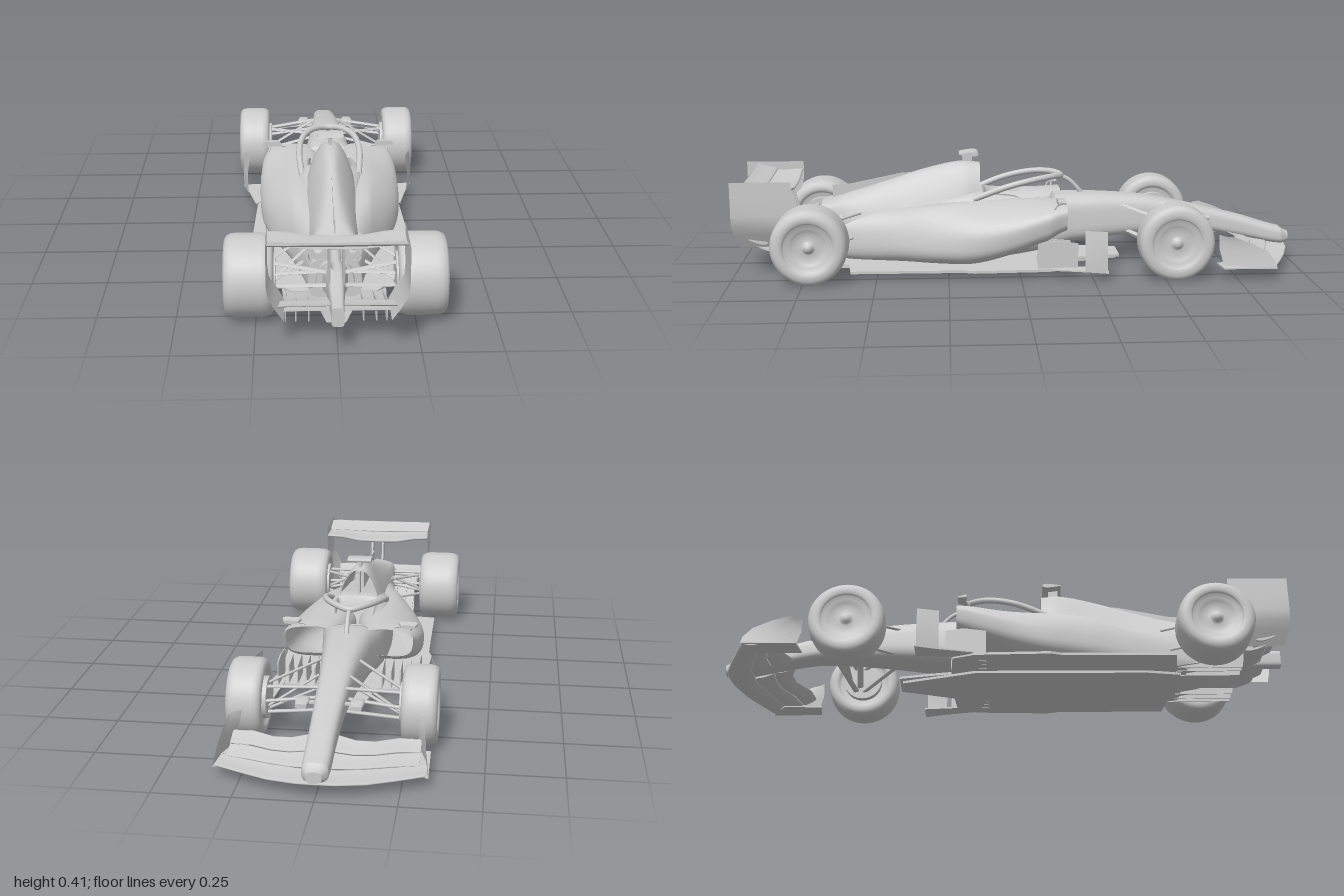
import * as THREE from 'three';

const V = (x, y, z) => new THREE.Vector3(x, y, z);
const { lerp, smoothstep } = THREE.MathUtils;

// Surface through rows of points; rows may be closed rings, optionally capped
function skin(rows, closed = true, capStart = false, capEnd = false) {
  const n = rows[0].length, pos = [], idx = [];
  rows.forEach(r => r.forEach(p => pos.push(p.x, p.y, p.z)));
  for (let i = 0; i < rows.length - 1; i++) {
    for (let j = 0; j < (closed ? n : n - 1); j++) {
      const a = i * n + j, b = i * n + (j + 1) % n;
      idx.push(a, b, a + n, b, b + n, a + n);
    }
  }
  const cap = (row, flip) => {
    const base = pos.length / 3, mid = V(0, 0, 0);
    row.forEach(p => { mid.addScaledVector(p, 1 / n); pos.push(p.x, p.y, p.z); });
    pos.push(mid.x, mid.y, mid.z);
    for (let j = 0; j < n; j++) {
      const a = base + j, b = base + (j + 1) % n;
      idx.push(base + n, flip ? b : a, flip ? a : b);
    }
  };
  if (capStart) cap(rows[0], true);
  if (capEnd) cap(rows[rows.length - 1], false);
  const g = new THREE.BufferGeometry();
  g.setAttribute('position', new THREE.Float32BufferAttribute(pos, 3));
  g.setIndex(idx);
  g.computeVertexNormals();
  return g;
}

// Body loft along z; section = [z, centreX, halfWidth, bottomY, topY, squareness, topWidthRatio]
function loft(sections, capStart, capEnd, steps = 8, rule = null) {
  const rows = [], last = sections.length - 1, seg = 48;
  for (let i = 0; i <= last * steps; i++) {
    const k = Math.min(Math.floor(i / steps), last - 1), t = i / steps - k;
    const at = m => sections[Math.max(0, Math.min(last, m))];
    const [z, xc, w, yb, yt, n, ratio] = at(k).map((b, c) => {
      const a = at(k - 1)[c], d = at(k + 1)[c], e = at(k + 2)[c];
      if (c === 0) return lerp(b, d, t);
      return b + 0.5 * t * (d - a + t * (2 * a - 5 * b + 4 * d - e + t * (3 * (b - d) + e - a)));
    });
    rows.push(Array.from({ length: seg }, (_, j) => {
      const a = j / seg * Math.PI * 2, c = Math.cos(a), s = Math.sin(a);
      const v = Math.sign(s) * Math.abs(s) ** (2 / n) / 2 + 0.5;
      const p = V(xc + w * Math.sign(c) * Math.abs(c) ** (2 / n) * lerp(1, ratio, v), lerp(yb, yt, v), z);
      if (rule) rule(p, v);
      return p;
    }));
  }
  return skin(rows, true, capStart, capEnd);
}

// Wing element; station = [x, leadZ, leadY, trailZ, trailY], x increasing
function wing(stations, thick = 0.008, sag = 0.006) {
  return skin(stations.map(([x, z0, y0, z1, y1]) => Array.from({ length: 16 }, (_, j) => {
    const a = j / 16 * Math.PI * 2, s = Math.sin(a), u = (1 + s) / 2;
    return V(x, lerp(y0, y1, u) + Math.cos(a) * thick / 2 * (1.1 - 0.7 * s) - sag * (1 - s * s), lerp(z0, z1, u));
  })), true, true, true);
}
const fullWing = (half, ...o) =>
  wing([...half.slice().reverse().map(([x, ...r]) => [-x, ...r]), ...half.filter(s => s[0] > 0)], ...o);

// Streamlined suspension arm from inner to outer end
const arm = (a, b, c = 0.011) => wing([a, b].map(([x, y, z]) => [x, z - c, y, z + c, y]), 0.008, 0);

// Upright plate from a [z, y] outline, and flat plate from an [x, z] outline
const extrude = (pts, t) => new THREE.ExtrudeGeometry(
  new THREE.Shape(pts.map(p => new THREE.Vector2(...p))), { depth: t, bevelEnabled: false });
const plate = (pts, x, t = 0.004) => extrude(pts, t).rotateY(-Math.PI / 2).translate(x + t / 2, 0, 0);
const slab = (pts, top, t) => extrude(pts, t).rotateX(Math.PI / 2).translate(0, top, 0);
const wholeSlab = (half, top, t) => slab([...half, ...half.slice().reverse().map(([x, z]) => [-x, z])], top, t);
const box = (w, h, d, x, y, z) => new THREE.BoxGeometry(w, h, d).translate(x, y, z);
const rod = (a, b, r) => new THREE.TubeGeometry(new THREE.LineCurve3(V(...a), V(...b)), 1, r, 8);

function mirrored(geo) {
  const g = geo.clone().scale(-1, 1, 1);
  const src = g.index ? Array.from(g.index.array) : Array.from({ length: g.attributes.position.count }, (_, i) => i);
  for (let i = 0; i < src.length; i += 3) [src[i], src[i + 1]] = [src[i + 1], src[i]];
  g.setIndex(src);
  return g;
}

// Wheel with rounded tyre, dished rim and centre nut, outer face towards +x
function wheel(R, x0, x1, y, z) {
  const h = (x1 - x0) / 2;
  const pts = [[0, -0.7], [0.084, -0.75], [0.09, -0.95], [0.1, -1], [0.113, -0.98], [0.123, -0.9], [R - 0.002, -0.72],
    [R, -0.5], [R, 0.5], [R - 0.002, 0.72], [0.123, 0.9], [0.113, 0.98], [0.1, 1], [0.09, 0.97], [0.086, 0.93], [0.084, 0.85],
    [0.074, 0.85], [0.072, 0.79], [0.058, 0.79], [0.055, 0.68], [0.024, 0.64], [0.02, 0.76], [0.012, 0.78], [0.011, 0.88], [0, 0.88]];
  return new THREE.LatheGeometry(pts.map(([r, t]) => new THREE.Vector2(r, t * h)), 48)
    .rotateZ(-Math.PI / 2).translate((x0 + x1) / 2, y, z);
}

export function createModel() {
  const car = new THREE.Group();
  car.name = 'openWheelRacingCar';
  const mat = new THREE.MeshStandardMaterial({ color: 0xcccccc, side: THREE.DoubleSide });
  const add = (name, geo) => {
    const m = new THREE.Mesh(geo, mat);
    m.name = name;
    car.add(m);
  };
  const both = (name, geo) => { add(name + 'Left', geo); add(name + 'Right', mirrored(geo)); };

  // Nose and survival cell, with the cockpit pressed into the top
  add('noseAndChassis', loft([
    [-1, 0, 0.026, 0.062, 0.1, 2.5, 0.9], [-0.97, 0, 0.044, 0.057, 0.118, 3, 0.9], [-0.82, 0, 0.047, 0.085, 0.162, 3.2, 0.9],
    [-0.66, 0, 0.053, 0.113, 0.202, 3.5, 0.9], [-0.45, 0, 0.07, 0.105, 0.242, 3.5, 0.85], [-0.2, 0, 0.096, 0.08, 0.255, 3.5, 0.85],
    [-0.08, 0, 0.112, 0.05, 0.247, 3.5, 0.9], [0.06, 0, 0.125, 0.03, 0.268, 3.8, 0.95], [0.2, 0, 0.128, 0.025, 0.268, 3.5, 0.9],
    [0.5, 0, 0.1, 0.025, 0.2, 3, 0.7], [0.72, 0, 0.07, 0.05, 0.17, 3, 0.7],
  ], true, true, 12, (p, v) => {
    if (v > 0.6) p.y -= 0.11 * (1 - smoothstep(Math.abs(p.x), 0.056, 0.068))
      * smoothstep(p.z, -0.13, -0.1) * (1 - smoothstep(p.z, 0.09, 0.12));
  }));

  // Engine cover, open at the intake and tail
  add('engineCover', loft([
    [0.135, 0, 0.1, 0.16, 0.367, 2.8, 0.44], [0.2, 0, 0.125, 0.12, 0.373, 2.8, 0.34], [0.32, 0, 0.13, 0.1, 0.35, 2.6, 0.28],
    [0.45, 0, 0.118, 0.1, 0.31, 2.6, 0.34], [0.6, 0, 0.1, 0.12, 0.265, 2.8, 0.55], [0.7, 0, 0.088, 0.155, 0.238, 3.5, 0.9],
  ], false, false));
  add('intakeSplitter', box(0.006, 0.09, 0.03, 0, 0.315, 0.155));
  add('sharkFin', plate([[0.28, 0.34], [0.42, 0.33], [0.6, 0.293], [0.665, 0.29], [0.665, 0.22], [0.28, 0.25]], 0));

  // Tail panel with cooling outlets, and exhaust
  const tail = new THREE.Shape();
  tail.absellipse(0, 0.197, 0.086, 0.04, 0, Math.PI * 2);
  for (const s of [-1, 1]) tail.holes.push(new THREE.Path().absarc(s * 0.055, 0.207, 0.016, 0, Math.PI * 2, true));
  add('tailPanel', new THREE.ExtrudeGeometry(tail, { depth: 0.008, bevelEnabled: false, curveSegments: 20 }).translate(0, 0, 0.69));
  add('exhaust', new THREE.CylinderGeometry(0.017, 0.017, 0.14, 24, 1, true).rotateX(Math.PI / 2).translate(0, 0.195, 0.73));

  // Downswept sidepods, sloping outboard, with undercut and open inlets
  both('sidepod', loft([
    [-0.165, 0.14, 0.08, 0.15, 0.25, 3.5, 1.15], [-0.1, 0.14, 0.095, 0.115, 0.252, 3.2, 1.15], [0.03, 0.13, 0.113, 0.065, 0.25, 3, 1.1],
    [0.16, 0.12, 0.125, 0.03, 0.245, 2.7, 0.95], [0.28, 0.1, 0.122, 0.025, 0.235, 2.5, 0.75], [0.42, 0.07, 0.098, 0.025, 0.215, 2.4, 0.65],
    [0.56, 0.05, 0.07, 0.025, 0.195, 2.5, 0.7], [0.7, 0.04, 0.05, 0.04, 0.17, 3, 0.8],
  ], false, true, 8, (p, v) => { p.y -= 0.45 * Math.max(0, p.x - 0.13) * v * smoothstep(p.z, -0.25, 0.1); }));

  // Floor, plank, fences and diffuser
  add('floor', wholeSlab([[0.06, -0.37], [0.085, -0.26], [0.1, -0.185], [0.235, -0.175], [0.265, -0.1], [0.275, 0.16], [0.262, 0.2],
    [0.258, 0.59], [0.17, 0.6], [0.14, 0.64]], 0.032, 0.009));
  add('plank', wholeSlab([[0.04, -0.36], [0.13, -0.1], [0.13, 0.5], [0.11, 0.62]], 0.025, 0.011));
  for (let i = 0; i < 4; i++) {
    const z = -0.185 + i * 0.006;
    both('floorFence' + (i + 1), plate([[z, 0.03], [z, 0.1], [-0.08, 0.11], [-0.06, 0.02]], 0.12 + i * 0.032));
  }
  both('floorFoot', slab([[0.23, -0.15], [0.245, -0.3], [0.325, -0.3], [0.3, -0.22], [0.272, -0.1]], 0.034, 0.005));
  both('bargeboard', skin([[0.322, -0.295], [0.314, -0.26], [0.303, -0.22]].map(([x, z]) => [V(x, 0.03, z), V(x + 0.003, 0.1, z), V(x - 0.006, 0.175, z)]), false));
  both('floorEdgeVane', plate([[-0.2, 0.03], [-0.2, 0.12], [-0.14, 0.13], [-0.06, 0.12], [-0.06, 0.03]], 0.25));
  add('diffuser', skin([[0.6, 0.022, 0.17], [0.7, 0.04, 0.165], [0.78, 0.065, 0.16], [0.84, 0.085, 0.155]]
    .map(([z, y, w]) => [V(-w, y, z), V(-0.06, y, z), V(-0.03, 0.022, z), V(0.03, 0.022, z), V(0.06, y, z), V(w, y, z)]), false));
  for (const x of [0.085, 0.125, 0.157]) both('diffuserStrake', plate([[0.6, 0.02], [0.83, 0.022], [0.84, 0.1], [0.76, 0.07]], x));
  add('gearboxAndCrashStructure', loft([[0.6, 0, 0.07, 0.03, 0.17, 3, 0.8], [0.76, 0, 0.035, 0.07, 0.17, 3.5, 0.9],
    [0.9, 0, 0.023, 0.085, 0.155, 4, 1], [0.995, 0, 0.02, 0.088, 0.15, 4, 1]], true, true));

  // Rear wing
  add('rearWingMain', fullWing([[0, 0.79, 0.292, 0.91, 0.3], [0.08, 0.79, 0.294, 0.91, 0.302], [0.15, 0.79, 0.307, 0.91, 0.31], [0.209, 0.79, 0.31, 0.91, 0.312]], 0.012, 0.008));
  add('rearWingFlap', fullWing([[0, 0.885, 0.308, 0.955, 0.335], [0.209, 0.885, 0.313, 0.955, 0.335]], 0.007, 0.004));
  add('beamWingLower', fullWing([[0, 0.83, 0.086, 0.92, 0.104], [0.165, 0.83, 0.086, 0.92, 0.104]]));
  add('beamWingUpper', fullWing([[0, 0.88, 0.122, 0.96, 0.142], [0.178, 0.88, 0.118, 0.96, 0.14]]));
  both('rearWingEndplate', skin([[0.211, 0.34, 0.79, 1], [0.211, 0.28, 0.79, 1], [0.211, 0.22, 0.805, 1], [0.206, 0.185, 0.815, 1], [0.188, 0.15, 0.825, 0.995], [0.16, 0.1, 0.83, 0.98]]
    .map(([x, y, z0, z1]) => [V(x, y, z0), V(x, y, (z0 + z1) / 2), V(x, y, z1)]), false));
  both('rearWingPylon', plate([[0.77, 0.15], [0.81, 0.29], [0.87, 0.295], [0.84, 0.15]], 0.022, 0.007));

  // Front wing: swept elements, the flaps arching forward between nose and endplate
  add('frontWingMain', fullWing([[0, -0.992, 0.055, -0.9, 0.062], [0.06, -0.985, 0.052, -0.9, 0.062], [0.15, -0.955, 0.045, -0.87, 0.056], [0.235, -0.92, 0.045, -0.84, 0.053], [0.322, -0.88, 0.045, -0.8, 0.05]]));
  [[0, 0.066, 0.084], [0.5, 0.086, 0.108]].forEach(([k, y0, y1], i) => both('frontWingFlap' + (i + 1),
    wing([[0.035, -0.915, -0.755, 0.004], [0.1, -0.9, -0.78, 0], [0.16, -0.88, -0.775, -0.003], [0.23, -0.85, -0.73, -0.008], [0.3, -0.82, -0.72, -0.014]]
      .map(([x, lead, trail, d]) => [x, lerp(lead, trail, k), y0 + d, lerp(lead, trail, k + 0.5), y1 + d]), 0.006, 0.004)));
  both('frontWingEndplate', skin([[0.332, 0.04, -0.885, -0.7], [0.328, 0.065, -0.88, -0.7], [0.322, 0.1, -0.85, -0.69], [0.316, 0.13, -0.79, -0.69], [0.312, 0.15, -0.73, -0.69]]
    .map(([x, y, z0, z1]) => [V(x, y, z0), V(x - 0.008, y, (z0 + z1) / 2), V(x - 0.035, y, z1)]), false));
  both('frontWingFootplate', slab([[0.245, -0.83], [0.332, -0.885], [0.328, -0.7], [0.25, -0.69]], 0.045, 0.005));

  // Halo
  const arch = [[0.1, 0.25, 0.16], [0.108, 0.295, 0.04], [0.092, 0.317, -0.06], [0.05, 0.322, -0.13]];
  add('haloArch', new THREE.TubeGeometry(new THREE.CatmullRomCurve3([...arch.map(p => V(...p)), V(0, 0.317, -0.16),
    ...arch.slice().reverse().map(([x, y, z]) => V(-x, y, z))]), 48, 0.011, 10));
  add('haloPillar', new THREE.TubeGeometry(new THREE.CatmullRomCurve3([V(0, 0.317, -0.155), V(0, 0.295, -0.195), V(0, 0.245, -0.24)]), 10, 0.008, 8));
  add('steeringWheel', box(0.07, 0.035, 0.012, 0, 0.215, -0.08));

  // Cameras, mirrors and nose pods
  add('roofCamera', wing([[-0.044, 0.14, 0.402, 0.21, 0.402], [0.044, 0.14, 0.402, 0.21, 0.402]], 0.012, 0));
  add('roofCameraStalk', box(0.012, 0.04, 0.035, 0, 0.38, 0.18));
  both('mirror', loft([[-0.16, 0.208, 0.025, 0.254, 0.266, 3, 1], [-0.13, 0.208, 0.034, 0.251, 0.27, 4, 1]], true, true, 4));
  both('mirrorStalk', rod([0.09, 0.235, -0.13], [0.19, 0.256, -0.14], 0.004));
  both('mirrorBrace', rod([0.215, 0.235, -0.12], [0.225, 0.262, -0.14], 0.003));
  both('nosePod', loft([[-0.69, 0.088, 0.018, 0.165, 0.18, 3, 1], [-0.65, 0.088, 0.023, 0.16, 0.184, 3, 1], [-0.62, 0.088, 0.02, 0.165, 0.18, 3, 1]], true, true, 4));
  both('nosePodStalk', box(0.04, 0.005, 0.02, 0.06, 0.172, -0.65));

  // Wheels and brake drums
  both('frontWheel', wheel(0.131, 0.225, 0.342, 0.133, -0.535));
  both('rearWheel', wheel(0.132, 0.192, 0.348, 0.134, 0.725));
  both('frontBrakeDrum', new THREE.CylinderGeometry(0.07, 0.07, 0.04, 28).rotateZ(Math.PI / 2).translate(0.237, 0.133, -0.535));
  both('rearBrakeDrum', new THREE.CylinderGeometry(0.07, 0.07, 0.04, 28).rotateZ(Math.PI / 2).translate(0.208, 0.134, 0.725));

  // Suspension arms, inner end to wheel end
  [[[0.045, 0.2, -0.59], [0.23, 0.18, -0.555]], [[0.065, 0.215, -0.38], [0.23, 0.18, -0.535]], [[0.045, 0.125, -0.6], [0.23, 0.09, -0.555]],
    [[0.065, 0.12, -0.4], [0.23, 0.09, -0.535]], [[0.05, 0.22, -0.53], [0.23, 0.1, -0.545]], [[0.045, 0.165, -0.59], [0.23, 0.14, -0.585]],
  ].forEach(([a, b], i) => both('frontSuspensionArm' + (i + 1), arm(a, b)));
  [[[0.08, 0.2, 0.57], [0.2, 0.18, 0.71]], [[0.03, 0.165, 0.78], [0.2, 0.18, 0.74]], [[0.07, 0.12, 0.56], [0.2, 0.1, 0.71]],
    [[0.03, 0.12, 0.78], [0.2, 0.1, 0.74]], [[0.08, 0.19, 0.63], [0.2, 0.11, 0.72]], [[0.03, 0.14, 0.72], [0.2, 0.134, 0.725]],
  ].forEach(([a, b], i) => both('rearSuspensionArm' + (i + 1), arm(a, b)));

  return car;
}
